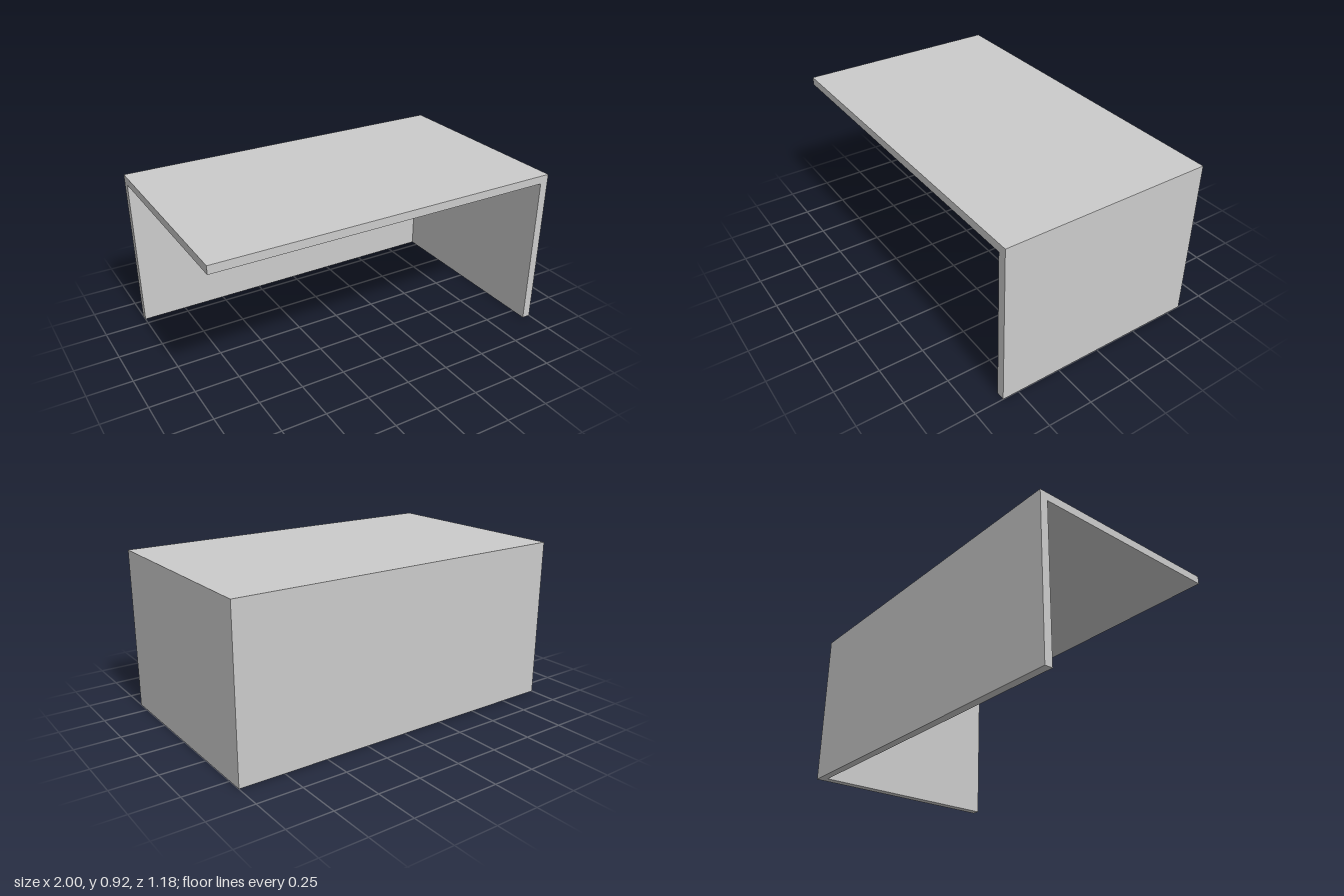
import * as THREE from 'three';

const grey = new THREE.MeshStandardMaterial({ color: 0xcccccc });
const FLOOR = 0.045; // slab and wall thickness
const DESK = 0.345;  // desktop height above the floor

function add(parent, name, geometry, x = 0, y = 0, z = 0) {
  const mesh = new THREE.Mesh(geometry, grey);
  mesh.name = name;
  mesh.position.set(x, y, z);
  parent.add(mesh);
  return mesh;
}

// Box given by its minimum and maximum corners
function box(parent, name, [x0, y0, z0], [x1, y1, z1]) {
  return add(parent, name, new THREE.BoxGeometry(x1 - x0, y1 - y0, z1 - z0),
    (x0 + x1) / 2, (y0 + y1) / 2, (z0 + z1) / 2);
}

// Plan outline in (x, -z), extruded upward from height y
function plan(parent, name, points, y, height) {
  const shape = new THREE.Shape(points.map(([a, b]) => new THREE.Vector2(a, b)));
  const geometry = new THREE.ExtrudeGeometry(shape, { depth: height, bevelEnabled: false });
  geometry.rotateX(-Math.PI / 2);
  return add(parent, name, geometry, 0, y, 0);
}

function group(parent, name, x, y, z) {
  const g = new THREE.Group();
  g.name = name;
  g.position.set(x, y, z);
  parent.add(g);
  return g;
}

// Desk with a cut-out for the user and two column legs
function buildDesk(room) {
  const desk = group(room, 'desk', 0, 0, 0);
  plan(desk, 'desktop', [
    [-0.305, 0.58], [-0.15, 0.58], [-0.13, 0.586], [-0.105, 0.609], [-0.085, 0.615],
    [0.25, 0.615], [0.27, 0.609], [0.292, 0.586], [0.31, 0.58],
    [0.465, 0.58], [0.465, 0.868], [-0.305, 0.868],
  ], DESK - 0.014, 0.014);
  for (const x of [-0.2, 0.36]) {
    box(desk, 'deskFoot', [x - 0.018, 0, -0.85], [x + 0.018, 0.014, -0.6]);
    box(desk, 'deskColumn', [x - 0.018, 0.014, -0.755], [x + 0.018, 0.2, -0.715]);
    box(desk, 'deskInnerColumn', [x - 0.014, 0.2, -0.75], [x + 0.014, DESK - 0.014, -0.72]);
    box(desk, 'deskBracket', [x - 0.018, DESK - 0.028, -0.84], [x + 0.018, DESK - 0.014, -0.62]);
  }
  box(desk, 'deskRail', [-0.2, DESK - 0.034, -0.75], [0.36, DESK - 0.014, -0.72]);
}

// Thin monitor carried by a stand behind it
function buildMonitor(room) {
  const monitor = group(room, 'monitor', 0.083, DESK, -0.823);
  box(monitor, 'screen', [-0.168, 0.055, -0.003], [0.168, 0.245, 0.003]);
  box(monitor, 'standBase', [-0.034, 0, -0.03], [0.034, 0.005, -0.003]);
  box(monitor, 'standColumn', [-0.012, 0.005, -0.022], [0.012, 0.17, -0.012]);
  box(monitor, 'standMount', [-0.025, 0.125, -0.013], [0.025, 0.175, -0.003]);
}

// Keyboard: tray with rows of keys
function buildKeyboard(room) {
  const keyboard = group(room, 'keyboard', 0, DESK, -0.745);
  box(keyboard, 'keyboardTray', [0, 0, 0], [0.155, 0.007, 0.073]);
  const pitch = 0.01, gap = 0.0012;
  for (let row = 0; row < 6; row++) {
    const z = 0.004 + row * 0.011;
    const shift = row % 2 ? pitch / 2 : 0;
    for (let col = 0; col < 15; col++) {
      const spaceBar = row === 5 && col >= 4 && col <= 9;
      if (spaceBar && col > 4) continue;
      // Odd rows are staggered between a wide first and a short last key
      const x0 = 0.0025 + col * pitch + (col && row < 5 ? shift : 0);
      const x1 = 0.0025 + (spaceBar ? 10 : col + 1) * pitch + (col < 14 && row < 5 ? shift : 0);
      box(keyboard, 'key', [x0 + gap / 2, 0.007, z], [x1 - gap / 2, 0.011, z + 0.0095]);
    }
  }
}

// Mouse: flattened capsule with a wheel
function buildMouse(room) {
  const mouse = group(room, 'mouse', 0.226, DESK, -0.702);
  const body = new THREE.CapsuleGeometry(0.016, 0.023, 6, 16);
  body.rotateX(Math.PI / 2).scale(1, 0.6, 1);
  add(mouse, 'mouseBody', body, 0, 0.0075, 0);
  const wheel = new THREE.CylinderGeometry(0.005, 0.005, 0.004, 16).rotateZ(Math.PI / 2);
  add(mouse, 'mouseWheel', wheel, 0, 0.0145, -0.014);
}

// Small turned holder with a leaning slab
function buildHolder(room) {
  const holder = group(room, 'holder', -0.12, DESK, -0.76);
  holder.rotation.y = 0.44;
  box(holder, 'holderBase', [-0.018, 0, -0.005], [0.018, 0.005, 0.032]);
  box(holder, 'holderStem', [-0.007, 0.005, 0], [0.007, 0.045, 0.008]);
  box(holder, 'holderLip', [-0.018, 0.005, 0.024], [0.018, 0.012, 0.032]);
  const slab = add(holder, 'leaningSlab', new THREE.BoxGeometry(0.064, 0.036, 0.006), 0, 0.044, -0.008);
  slab.rotation.x = -0.6;
}

export function createModel() {
  const model = new THREE.Group();
  model.name = 'officeCorner';

  // The room is laid on its back: its floor faces +z and its back wall is on top
  const room = group(model, 'room', 0, 0, -0.545);
  room.rotation.x = Math.PI / 2;

  box(room, 'floor', [-1, -FLOOR, -0.87], [0.952, 0, 0]);
  plan(room, 'walls', [
    [-1, 0.87], [0.952, 0.87], [0.952, 0], [1, 0], [1, 0.916], [-1, 0.916],
  ], -FLOOR, 1.18);

  buildDesk(room);
  buildMonitor(room);
  buildKeyboard(room);
  buildMouse(room);
  buildHolder(room);
  return model;
}
